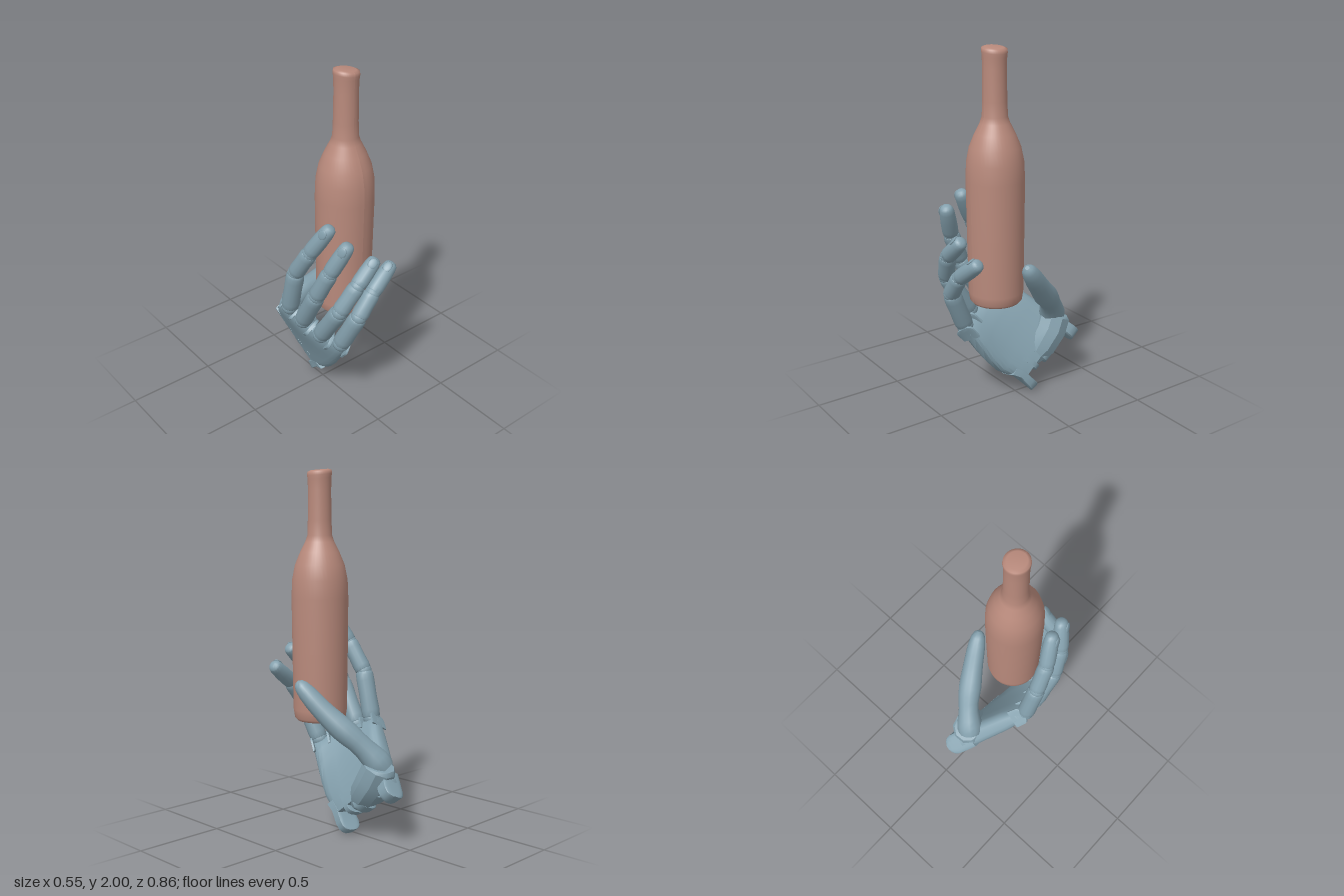
import * as THREE from 'three';
import { toCreasedNormals } from 'three/addons/utils/BufferGeometryUtils.js';

const V = (x, y, z) => new THREE.Vector3(x, y, z);
const handMat = new THREE.MeshStandardMaterial({ color: 0x84a0ad });
const bottleMat = new THREE.MeshStandardMaterial({ color: 0xb98a7c });

function add(parent, name, geometry, material = handMat) {
  const mesh = new THREE.Mesh(geometry, material);
  mesh.name = name;
  parent.add(mesh);
  return mesh;
}

// Skin a list of equal rings (clockwise seen from the far end) and cap both ends
function loft(rings) {
  const n = rings[0].length, pos = [], idx = [];
  rings.flat().forEach((p) => pos.push(p.x, p.y, p.z));
  for (let j = 0; j < rings.length - 1; j++) {
    for (let i = 0; i < n; i++) {
      const a = j * n + i, b = j * n + (i + 1) % n;
      idx.push(a, a + n, b, b, a + n, b + n);
    }
  }
  [0, rings.length - 1].forEach((j) => {
    const c = rings[j].reduce((s, p) => s.add(p), V(0, 0, 0)).divideScalar(n);
    const k = pos.length / 3;
    pos.push(c.x, c.y, c.z);
    for (let i = 0; i < n; i++) {
      const a = j * n + i, b = j * n + (i + 1) % n;
      if (j === 0) idx.push(k, a, b);
      else idx.push(k, b, a);
    }
  });
  const g = new THREE.BufferGeometry();
  g.setAttribute('position', new THREE.Float32BufferAttribute(pos, 3));
  g.setIndex(idx);
  return toCreasedNormals(g, 0.6);
}

// Round limb: centres, radii and a reference axis that fixes the ring direction
function limb(centres, radii, ref, sides = 14) {
  const last = centres.length - 1;
  return loft(centres.map((c, j) => {
    const t = centres[Math.min(j + 1, last)].clone().sub(centres[Math.max(j - 1, 0)]).normalize();
    const x = ref.clone().cross(t).normalize(), y = t.clone().cross(x);
    return Array.from({ length: sides }, (_, i) => {
      const a = (i / sides) * Math.PI * 2;
      return c.clone().addScaledVector(x, Math.cos(a) * radii[j]).addScaledVector(y, -Math.sin(a) * radii[j]);
    });
  }));
}

// Cupped palm surface: u runs index to little finger, v runs wrist to knuckles
const knuckles = new THREE.CatmullRomCurve3([V(-0.222, 0.615, -0.065), V(-0.205, 0.56, 0.06), V(-0.155, 0.49, 0.2), V(-0.055, 0.43, 0.3)]);
const wristA = V(-0.025, 0.36, -0.35), wristB = V(0.012, 0.105, 0.01);
const heel = V(0, -0.028, 0.024); // outward swell of the little-finger edge
function palmPoint(u, v) {
  const k = THREE.MathUtils.clamp(v, 0, 1);
  return wristA.clone().lerp(wristB, u).lerp(knuckles.getPoint(THREE.MathUtils.clamp(u, 0, 1)), v)
    .addScaledVector(heel, u * u * 6.75 * k * (1 - k) * (1 - k));
}
const across = (u, v) => palmPoint(Math.min(u + 0.05, 1), v).sub(palmPoint(Math.max(u - 0.05, 0), v)).normalize();
const palmNormal = (u, v) => palmPoint(u, v + 0.05).sub(palmPoint(u, v - 0.05)).cross(across(u, v)).normalize();

// Slab lying on the palm surface; rounding trims the thickness at each end
function slab(u0, u1, v0, v1, roundStart, roundEnd) {
  const side = [[0, 0.4], [0.02, 0.7], [0.06, 0.92], [0.12, 1], [0.3, 1], [0.5, 1], [0.7, 1], [0.88, 1], [0.94, 0.92], [0.98, 0.7], [1, 0.4]];
  const profile = [...side, ...side.map(([u, h]) => [u, -h]).reverse()];
  const stations = [[0, 0.35], [0.05, 0.65], [0.14, 0.88], [0.3, 1], [0.5, 1], [0.7, 1], [0.86, 0.88], [0.95, 0.65], [1, 0.35]];
  return loft(stations.map(([t, f]) => {
    const v = v0 + (v1 - v0) * t;
    const trim = (t < 0.5 ? roundStart : roundEnd) ? f : 1;
    const half = (0.064 - 0.01 * THREE.MathUtils.clamp(v, 0, 1)) * trim;
    return profile.map(([s, h]) => {
      const u = u0 + (u1 - u0) * s;
      return palmPoint(u, v).addScaledVector(palmNormal(u, v), h * half);
    });
  }));
}

function makeFinger(name, u, joints) {
  const finger = new THREE.Group();
  finger.name = name;
  const hinge = across(u, 1);
  const pts = [palmPoint(u, 1.03), ...joints];
  const radius = [0.052, 0.048, 0.045];
  const ts = [0, 0.05, 0.18, 0.5, 0.8, 0.92, 0.975, 1];
  const shaft = [0.8, 0.95, 1, 0.95, 0.98, 0.95, 0.88, 0.75];
  const tip = [0.8, 0.96, 1, 0.98, 0.9, 0.78, 0.58, 0.3];
  radius.forEach((r, k) => {
    const f = k === 2 ? tip : shaft;
    add(finger, ['lowerSegment', 'middleSegment', 'fingertip'][k],
      limb(ts.map((t) => pts[k].clone().lerp(pts[k + 1], t)), f.map((s) => s * r), hinge));
    // Rounded joint at the lower end of the segment
    add(finger, 'joint', new THREE.SphereGeometry(r * 0.93, 14, 10)).position.copy(pts[k]);
  });
  // Nail on the outer side of the tip
  const axis = pts[3].clone().sub(pts[2]).normalize();
  const out = pts[2].clone().sub(pts[1]).normalize();
  out.addScaledVector(axis, -out.dot(axis)).normalize();
  const nail = add(finger, 'nail', new THREE.SphereGeometry(1, 12, 8));
  nail.scale.set(0.024, 0.007, 0.032);
  nail.position.copy(pts[2]).lerp(pts[3], 0.78).addScaledVector(out, 0.038);
  nail.quaternion.setFromRotationMatrix(new THREE.Matrix4().makeBasis(out.clone().cross(axis), out, axis));
  return finger;
}

function makeBottle() {
  const profile = [[0, 0.655], [0.07, 0.645], [0.11, 0.622], [0.13, 0.617], [0.143, 0.632], [0.15, 0.68], [0.154, 1.0],
    [0.157, 1.3], [0.153, 1.4], [0.137, 1.48], [0.108, 1.55], [0.08, 1.605], [0.068, 1.64], [0.065, 1.72], [0.063, 1.88],
    [0.065, 1.95], [0.068, 1.97], [0.066, 1.988], [0.05, 1.994], [0, 1.994]];
  const g = new THREE.LatheGeometry(profile.map(([r, y]) => new THREE.Vector2(r, y)), 40);
  // Slightly slanted mouth
  const p = g.attributes.position;
  for (let i = 0; i < p.count; i++) if (p.getY(i) > 1.94) p.setY(i, p.getY(i) - 0.12 * p.getX(i));
  g.computeVertexNormals();
  return g;
}

export function createModel() {
  const model = new THREE.Group();
  model.name = 'handHoldingBottle';

  const bottle = add(model, 'bottle', makeBottle(), bottleMat);
  bottle.position.set(0.027, 0, 0.147);

  const hand = new THREE.Group();
  hand.name = 'hand';
  model.add(hand);
  add(hand, 'palm', slab(0, 1, -0.06, 1, false, true));

  // Wrist prongs
  [[0, 0.16, -0.29], [0.24, 0.4, -0.17], [0.48, 0.62, -0.19], [0.7, 0.78, -0.15], [0.88, 1, -0.31]]
    .forEach(([a, b, v]) => add(hand, 'wristProng', slab(a, b, v, 0.12, true, false)));
  // Knuckle lugs between the fingers
  [[0, 0.03], [0.22, 0.26], [0.48, 0.52], [0.74, 0.78], [0.97, 1]]
    .forEach(([a, b]) => add(hand, 'knuckleLug', slab(a, b, 0.86, 1.06, false, true)));

  hand.add(
    makeFinger('indexFinger', 0.11, [V(-0.232, 0.87, 0.055), V(-0.21, 1.03, 0.15), V(-0.15, 1.215, 0.255)]),
    makeFinger('middleFinger', 0.37, [V(-0.22, 0.8, 0.22), V(-0.19, 0.97, 0.295), V(-0.12, 1.155, 0.365)]),
    makeFinger('ringFinger', 0.63, [V(-0.165, 0.74, 0.345), V(-0.08, 0.89, 0.385), V(0.055, 1.01, 0.378)]),
    makeFinger('littleFinger', 0.89, [V(-0.06, 0.68, 0.38), V(0.03, 0.8, 0.383), V(0.19, 0.92, 0.36)]),
  );

  // Thumb mount: a faceted block on the palm
  const ref = V(1, 0, -1);
  add(hand, 'thumbMount', limb([V(0.01, 0.17, -0.12), V(0.01, 0.24, -0.18), V(0.01, 0.33, -0.245), V(0, 0.405, -0.28), V(0, 0.42, -0.285)],
    [0.04, 0.085, 0.095, 0.095, 0.08], ref, 9));
  // Thumb: narrow waist between two joints and a blunt rounded tip
  const path = new THREE.CatmullRomCurve3([V(-0.02, 0.4, -0.28), V(0.015, 0.46, -0.25), V(0.078, 0.55, -0.185), V(0.132, 0.63, -0.105), V(0.183, 0.718, -0.022), V(0.247, 0.86, 0.098)]);
  const radii = [0.07, 0.076, 0.074, 0.067, 0.06, 0.06, 0.065, 0.067, 0.064, 0.06, 0.057, 0.054, 0.049, 0.04, 0.028, 0.012];
  const ts = [0, 0.08, 0.16, 0.24, 0.32, 0.4, 0.48, 0.56, 0.64, 0.72, 0.79, 0.86, 0.92, 0.965, 0.988, 1];
  add(hand, 'thumb', limb(ts.map((t) => path.getPoint(t)), radii, ref));

  return model;
}
